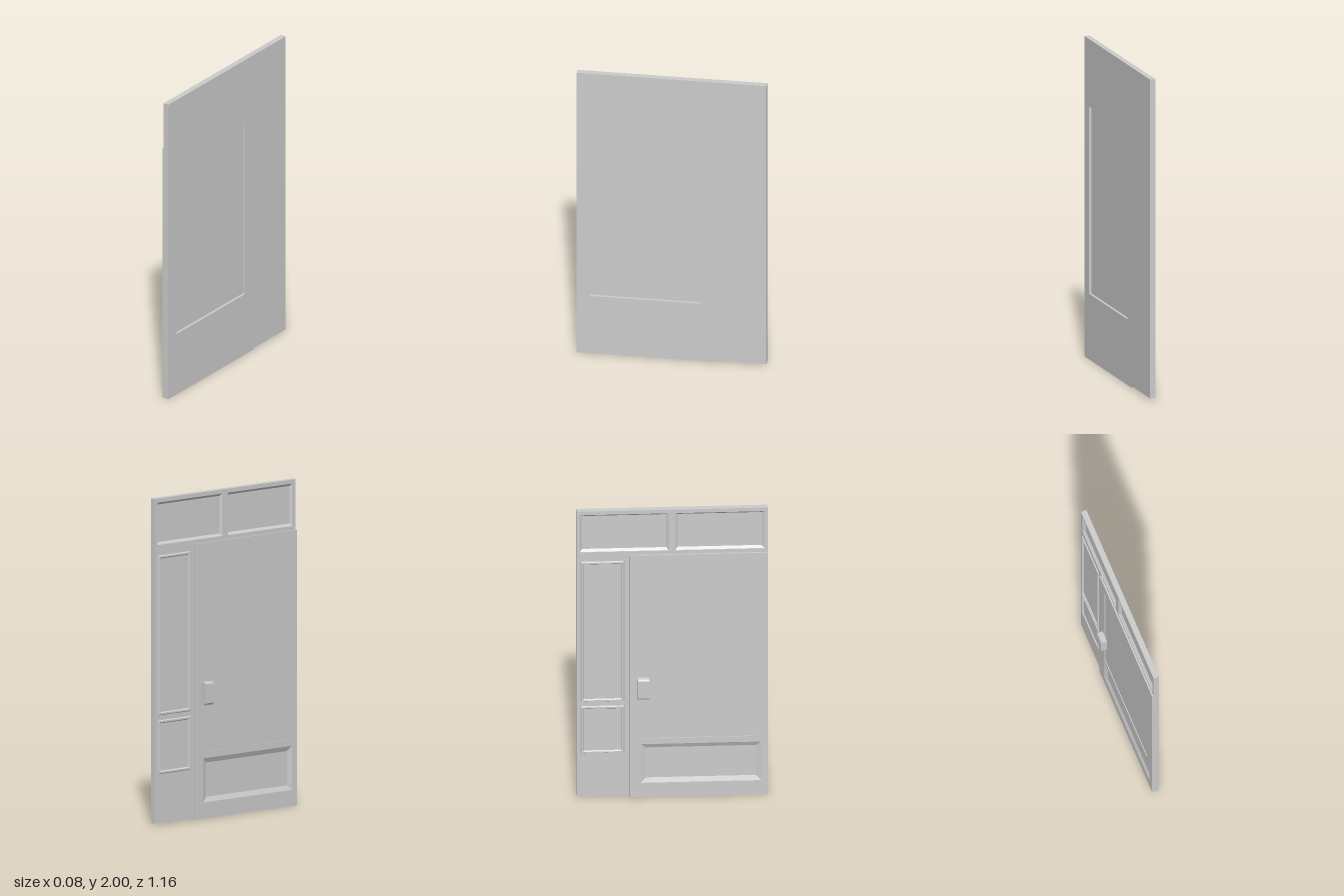
import * as THREE from 'three';

const BACK = 0.04;        // flat side of the wall
const DOOR_FACE = -0.005; // panelled side of the door leaf
const WALL_FACE = 0.005;  // panelled side of sidelight and transom

// Rectangles are [z0, y0, z1, y1]
const corners = ([z0, y0, z1, y1], d = 0) => [
  [z0 + d, y0 + d], [z1 - d, y0 + d], [z1 - d, y1 - d], [z0 + d, y1 - d],
];
const outline = (r) => corners(r).map(([z, y]) => new THREE.Vector2(z, y));

export function createModel() {
  const model = new THREE.Group();
  const material = new THREE.MeshStandardMaterial({ color: 0xcccccc, flatShading: true });

  function add(name, geometry) {
    const mesh = new THREE.Mesh(geometry, material);
    mesh.name = name;
    model.add(mesh);
  }

  // Upright board between x0 and x1 with rectangular openings
  function board(name, rect, x0, x1, openings = []) {
    const shape = new THREE.Shape(outline(rect));
    openings.forEach((o) => shape.holes.push(new THREE.Path(outline(o))));
    const g = new THREE.ExtrudeGeometry(shape, { depth: x1 - x0, bevelEnabled: false });
    g.rotateY(-Math.PI / 2).translate(x1, 0, 0);
    add(name, g);
  }

  // Moulding: profile of [inset, x] points carried round a rectangle
  function moulding(name, rect, profile) {
    const pos = [];
    for (let k = 0; k < profile.length - 1; k++) {
      const [[d0, xa], [d1, xb]] = [profile[k], profile[k + 1]];
      const outer = corners(rect, d0).map(([z, y]) => [xa, y, z]);
      const inner = corners(rect, d1).map(([z, y]) => [xb, y, z]);
      for (let i = 0; i < 4; i++) {
        const j = (i + 1) % 4;
        pos.push(...outer[i], ...outer[j], ...inner[j], ...outer[i], ...inner[j], ...inner[i]);
      }
    }
    const g = new THREE.BufferGeometry();
    g.setAttribute('position', new THREE.Float32BufferAttribute(pos, 3));
    g.computeVertexNormals();
    add(name, g);
  }

  // Door leaf with a glazed opening and a sunk kick panel
  const glass = [-0.18, 0.41, 0.5, 1.58];
  const kick = [-0.19, 0.1, 0.54, 0.37];
  board('doorLeaf', [-0.26, 0, 0.58, 1.69], DOOR_FACE, BACK, [glass, kick]);
  board('doorGlass', glass, 0, 0.024);
  board('kickPanel', kick, 0.008, BACK);
  moulding('kickPanelMoulding', kick, [[0, DOOR_FACE], [0.03, 0.008]]);

  // Sidelight with two raised panel frames
  board('sidelight', [-0.58, 0.01, -0.26, 1.69], WALL_FACE, BACK);
  for (const [y0, y1] of [[0.31, 0.64], [0.67, 1.65]]) {
    moulding('sidelightMoulding', [-0.555, y0, -0.29, y1],
      [[0, WALL_FACE], [0.005, -0.003], [0.014, -0.003], [0.02, WALL_FACE]]);
  }

  // Transom with two sunk panes
  const panes = [[-0.56, 1.715, -0.02, 1.975], [0.02, 1.715, 0.56, 1.975]];
  board('transomFrame', [-0.58, 1.69, 0.58, 2], WALL_FACE, BACK, panes);
  for (const pane of panes) {
    board('transomPane', pane, 0.022, BACK);
    moulding('transomMoulding', pane, [[0, 0.01], [0.015, 0.022]]);
  }

  // Handle block with chamfered outer edges
  const side = new THREE.Shape([
    [DOOR_FACE, 0.7], [DOOR_FACE, 0.84], [-0.036, 0.84], [-0.043, 0.83], [-0.043, 0.712], [-0.036, 0.7],
  ].map(([x, y]) => new THREE.Vector2(x, y)));
  const handle = new THREE.ExtrudeGeometry(side, { depth: 0.07, bevelEnabled: false });
  add('handle', handle.translate(0, 0, -0.21));

  return model;
}
